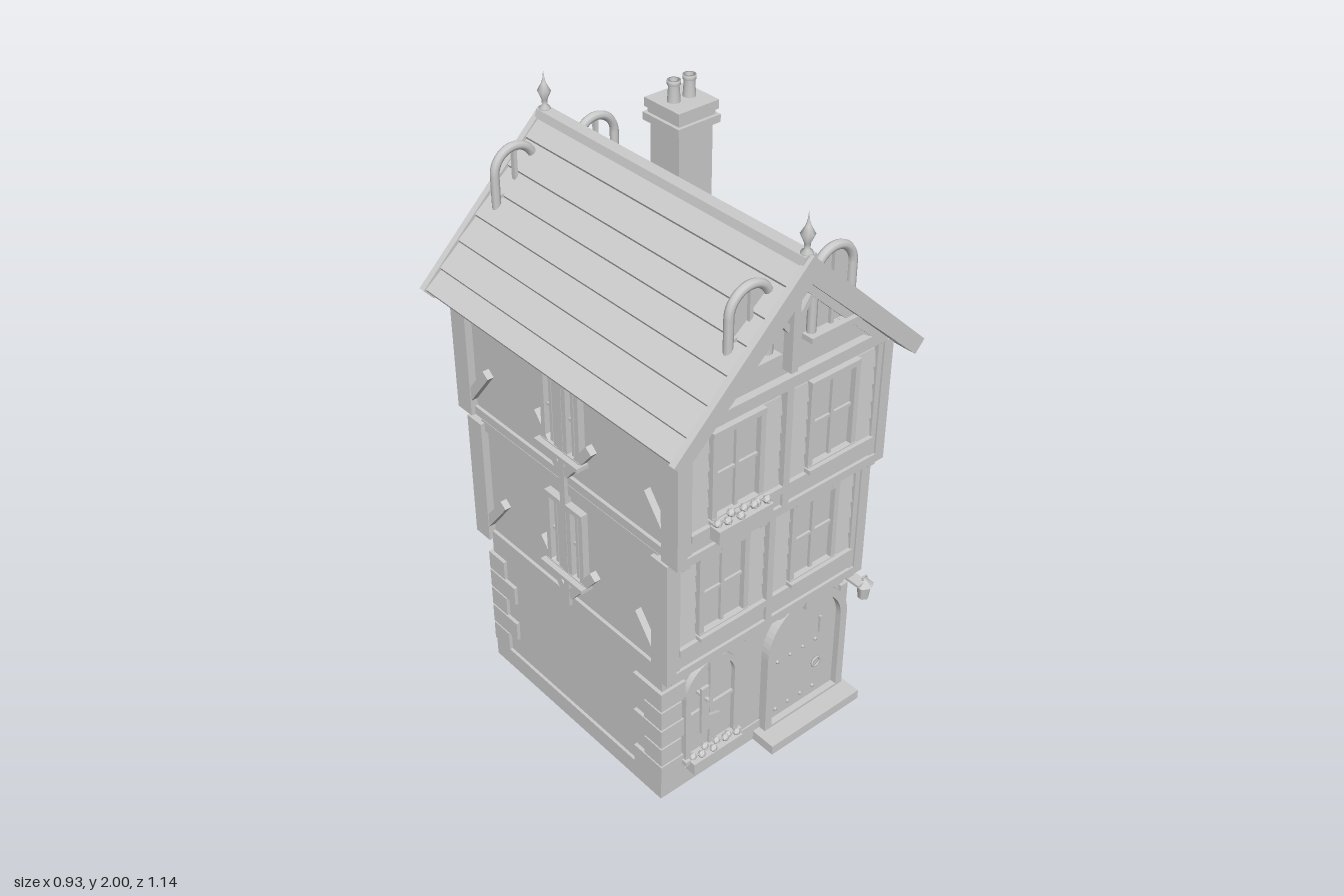
import * as THREE from 'three';

const grey = new THREE.MeshStandardMaterial({ color: 0xcccccc });
grey.name = 'grey';

function add(parent, name, geo, x = 0, y = 0, z = 0) {
  const m = new THREE.Mesh(geo, grey);
  m.name = name;
  m.position.set(x, y, z);
  parent.add(m);
  return m;
}
// Box given by its min and max on each axis
function box(parent, name, x0, x1, y0, y1, z0, z1) {
  return add(parent, name, new THREE.BoxGeometry(x1 - x0, y1 - y0, z1 - z0),
    (x0 + x1) / 2, (y0 + y1) / 2, (z0 + z1) / 2);
}
// Timber running between two points of a wall plane
function beam(parent, name, a, b, w, z0, z1) {
  const dx = b[0] - a[0], dy = b[1] - a[1];
  const m = add(parent, name, new THREE.BoxGeometry(Math.hypot(dx, dy), w, z1 - z0),
    (a[0] + b[0]) / 2, (a[1] + b[1]) / 2, (z0 + z1) / 2);
  m.rotation.z = Math.atan2(dy, dx);
}
function group(parent, name) {
  const g = new THREE.Group();
  g.name = name;
  parent.add(g);
  return g;
}
function extrude(shape, z0, z1) {
  const g = new THREE.ExtrudeGeometry(shape, { depth: z1 - z0, bevelEnabled: false, curveSegments: 14 });
  return g.translate(0, 0, z0);
}
function polygon(pts) {
  return new THREE.Shape(pts.map(p => new THREE.Vector2(p[0], p[1])));
}
// Round-topped outline: half width r, straight from y0 to the spring line
function arch(x, r, y0, spring, Type = THREE.Shape) {
  const s = new Type();
  s.moveTo(x - r, y0);
  s.lineTo(x + r, y0);
  s.lineTo(x + r, spring);
  s.absarc(x, spring, r, 0, Math.PI, false);
  s.lineTo(x - r, y0);
  return s;
}
function archFrame(x, r, t, y0, spring) {
  const s = arch(x, r, y0, spring);
  s.holes.push(arch(x, r - t, y0 + t * 0.5, spring, THREE.Path));
  return s;
}

// Rectangular casement with cross bars and sill
function casement(parent, x, y0, w, h, z, sill) {
  const g = group(parent, 'casementWindow'), t = 0.018, y1 = y0 + h;
  for (const s of [-1, 1]) {
    const c = x + s * (w - t) / 2;
    box(g, 'windowJamb', c - t / 2, c + t / 2, y0, y1, z, z + 0.022);
  }
  box(g, 'windowHead', x - w / 2, x + w / 2, y1 - t, y1, z, z + 0.024);
  box(g, 'windowFoot', x - w / 2, x + w / 2, y0, y0 + t, z, z + 0.024);
  box(g, 'mullion', x - 0.006, x + 0.006, y0, y1, z, z + 0.014);
  box(g, 'transom', x - w / 2 + t, x + w / 2 - t, y0 + h / 2 - 0.005, y0 + h / 2 + 0.005, z, z + 0.012);
  box(g, 'glass', x - w / 2 + t, x + w / 2 - t, y0 + t, y1 - t, z, z + 0.004);
  box(g, 'sill', x - sill / 2, x + sill / 2, y0, y0 + 0.014, z, z + 0.037);
}

function flowerBox(parent, x, y, z) {
  const g = group(parent, 'flowerBox');
  box(g, 'planter', x - 0.1, x + 0.1, y, y + 0.045, z, z + 0.04);
  for (let i = 0; i < 8; i++) {
    add(g, 'flower', new THREE.IcosahedronGeometry(0.014, 0),
      x - 0.084 + i * 0.024, y + 0.052 + (i % 3) * 0.007, z + 0.014 + (i % 2) * 0.014);
  }
}

// Gable-end elevation facing local +z; s = 1 front, -1 back
function facade(parent, s) {
  const g = group(parent, s > 0 ? 'frontElevation' : 'backElevation');
  if (s < 0) g.rotation.y = Math.PI;

  // Upper storeys: base y, top y, wall plane z, window foot
  for (const [y0, y1, z, wy] of [[0.52, 0.985, 0.445, 0.63], [0.985, 1.45, 0.49, 1.085]]) {
    const o = z + 0.025;
    box(g, 'bottomBeam', -0.4, 0.4, y0, y0 + 0.03, z, o);
    box(g, 'topBeam', -0.375, 0.375, y1 - 0.04, y1 - 0.002, z, o);
    box(g, 'centrePost', -0.012, 0.012, y0, y1 - 0.01, z, o);
    for (const k of [-1, 1]) {
      box(g, 'cornerPost', k * 0.382 - 0.018, k * 0.382 + 0.018, y0, Math.min(y1 - 0.01, 1.41), z - 0.045, o);
      box(g, 'stud', k * 0.355 - 0.01, k * 0.355 + 0.01, y0, y1 - 0.02, z, o - 0.006);
      box(g, 'lowerPanel', k * 0.18 - 0.165, k * 0.18 + 0.165, y0 + 0.035, y0 + 0.08, z, o - 0.006);
      box(g, 'middleRail', k * 0.18 - 0.168, k * 0.18 + 0.168, wy - 0.025, wy, z, o);
      casement(g, k * 0.18, wy, 0.19, 0.305, z, 0.2);
      for (const bx of [0.05, 0.313]) for (let i = 0; i < 5; i++) {
        const b = add(g, 'weatherBoard', new THREE.BoxGeometry(0.066, 0.06, 0.008),
          k * bx, wy + 0.032 + i * 0.06, z + 0.006);
        b.rotation.x = -0.12;
      }
    }
    for (let i = 0; i < 6; i++) {
      const jx = -0.36 + i * 0.144;
      box(g, 'joistEnd', jx - 0.014, jx + 0.014, y0 - 0.016, y0, z - 0.05, o - 0.008);
    }
  }

  // Gable timbers and round-topped attic windows
  box(g, 'kingPost', -0.012, 0.012, 1.47, 1.79, 0.49, 0.525);
  for (const k of [-1, 1]) {
    beam(g, 'gableRafter', [k * 0.37, 1.42], [0, 1.77], 0.045, 0.49, 0.515);
    beam(g, 'gableBrace', [k * 0.32, 1.45], [k * 0.17, 1.55], 0.02, 0.49, 0.51);
    beam(g, 'kingPostBrace', [k * 0.01, 1.6], [k * 0.07, 1.68], 0.018, 0.49, 0.51);
    const x = k * 0.15;
    add(g, 'atticGlass', new THREE.ShapeGeometry(arch(x, 0.07, 1.55, 1.72)), 0, 0, 0.497);
    add(g, 'atticHood', new THREE.TorusGeometry(0.071, 0.014, 8, 20, Math.PI), x, 1.72, 0.5);
    for (const j of [-1, 1])
      add(g, 'atticJamb', new THREE.CylinderGeometry(0.014, 0.014, 0.17, 8), x + j * 0.071, 1.635, 0.5);
    box(g, 'atticMullion', x - 0.006, x + 0.006, 1.55, 1.785, 0.493, 0.508);
    box(g, 'atticTransom', x - 0.065, x + 0.065, 1.645, 1.656, 0.493, 0.508);
    box(g, 'atticSill', x - 0.095, x + 0.095, 1.538, 1.555, 0.49, 0.53);
  }

  // Round-topped ground floor window
  const wx = -0.19 * s, dx = 0.2 * s;
  add(g, 'archWindowFrame', extrude(archFrame(wx, 0.108, 0.02, 0.11, 0.375), 0.41, 0.44));
  add(g, 'archGlass', extrude(arch(wx, 0.09, 0.12, 0.375), 0.41, 0.424));
  box(g, 'archMullion', wx - 0.006, wx + 0.006, 0.12, 0.463, 0.42, 0.433);
  box(g, 'archTransom', wx - 0.09, wx + 0.09, 0.28, 0.292, 0.42, 0.433);
  box(g, 'keystone', wx - 0.022, wx + 0.022, 0.45, 0.505, 0.41, 0.45);
  box(g, 'archSill', wx - 0.115, wx + 0.115, 0.105, 0.122, 0.41, 0.45);

  // Door, frame, studs, ring handle and step
  const front = s > 0;
  if (front) {
    add(g, 'doorFrame', extrude(archFrame(dx, 0.172, 0.028, 0.03, 0.345), 0.41, 0.45));
    add(g, 'door', extrude(arch(dx, 0.146, 0.035, 0.345), 0.41, 0.428));
    box(g, 'doorKeystone', dx - 0.024, dx + 0.024, 0.47, 0.515, 0.41, 0.457);
    box(g, 'doorBolt', 0.266, 0.273, 0.31, 0.375, 0.42, 0.436);
  } else {
    for (const k of [-1, 1])
      box(g, 'doorJamb', dx + k * 0.158 - 0.014, dx + k * 0.158 + 0.014, 0.03, 0.49, 0.41, 0.44);
    box(g, 'doorLintel', dx - 0.18, dx + 0.18, 0.46, 0.495, 0.41, 0.445);
    box(g, 'door', dx - 0.15, dx + 0.15, 0.035, 0.46, 0.41, 0.428);
  }
  for (let i = 0; i < 4; i++) for (const y of [0.08, 0.285])
    add(g, 'doorStud', new THREE.SphereGeometry(0.007, 6, 4), dx - 0.11 + i * 0.055, y, 0.429);
  add(g, 'ringHandle', new THREE.TorusGeometry(0.017, 0.004, 6, 14), dx + 0.06 * s, 0.185, 0.434);
  box(g, 'doorStep', s > 0 ? 0 : -0.385, s > 0 ? 0.385 : 0, 0, 0.035, 0.4, 0.515);

  if (front) {
    flowerBox(g, -0.19, 0.075, 0.432);
    flowerBox(g, -0.185, 1.045, 0.515);
    // Hanging boot-shaped sign
    box(g, 'signArm', -0.245, -0.235, 0.362, 0.372, 0.42, 0.475);
    add(g, 'bootSign', extrude(polygon([[-0.255, 0.41], [-0.255, 0.225], [-0.19, 0.228],
      [-0.175, 0.25], [-0.18, 0.27], [-0.225, 0.285], [-0.225, 0.41]]), 0.452, 0.462));
  }
}

// Long side wall facing local +z; its plane is the house's x side
function flank(parent, s) {
  const g = group(parent, 'sideElevation');
  g.rotation.y = s * Math.PI / 2;
  for (const [y0, y1, half, wy, h] of [[0.52, 0.985, 0.465, 0.635, 0.28], [0.985, 1.42, 0.51, 1.09, 0.275]]) {
    box(g, 'sideBottomBeam', -half, half, y0, y0 + 0.03, 0.375, 0.386);
    box(g, 'sideTopBeam', -half + 0.05, half - 0.05, y1 - 0.04, y1 - 0.002, 0.375, 0.386);
    box(g, 'sidePost', -0.012, 0.012, y0, y1, 0.375, 0.398);
    box(g, 'sideSill', -0.1, 0.1, wy, wy + 0.014, 0.375, 0.417);
    for (const k of [-1, 1]) {
      casement(g, k * 0.05, wy, 0.075, h, 0.375, 0.075);
      beam(g, 'centreBrace', [k * 0.13, y0 + 0.19], [k * 0.01, y0 + 0.04], 0.03, 0.375, 0.397);
      beam(g, 'cornerBrace', [k * (half - 0.035), y0 + 0.04], [k * (half - 0.15), y0 + 0.19], 0.03, 0.375, 0.397);
    }
  }
}

export function createModel() {
  const house = new THREE.Group();
  house.name = 'townHouse';

  // Main walls
  box(house, 'plinth', -0.385, 0.385, 0, 0.068, -0.425, 0.425);
  box(house, 'groundFloor', -0.375, 0.375, 0.06, 0.52, -0.42, 0.42);
  box(house, 'middleFloor', -0.375, 0.375, 0.515, 0.985, -0.445, 0.445);
  add(house, 'topFloorAndGable', extrude(polygon([[-0.375, 0.985], [0.375, 0.985],
    [0.375, 1.425], [0, 1.79], [-0.375, 1.425]]), -0.49, 0.49));

  // Corner stones, alternating long and short
  for (const x of [-1, 1]) for (const z of [-1, 1]) for (let i = 0; i < 5; i++) {
    const long = (i % 2 === 0) === (z > 0);
    const lx = x * z > 0 ? 0.03 : long ? 0.095 : 0.08, lz = long ? 0.13 : 0.08;
    const y = 0.07 + i * 0.077;
    add(house, 'cornerStone', new THREE.BoxGeometry(lx, 0.07, lz),
      x * (0.387 - lx / 2), y + 0.035, z * (0.43 - lz / 2));
  }

  facade(house, 1);
  facade(house, -1);
  flank(house, 1);
  flank(house, -1);

  // Roof with stepped courses
  const roofY = x => 1.838 - 0.957 * x;
  const right = [[0, 1.838]];
  for (const x of [0.07, 0.14, 0.2, 0.265, 0.33, 0.4, 0.455])
    right.push([x, roofY(x) + 0.005], [x - 0.003, roofY(x) - 0.003]);
  right.push([0.425, 1.37], [0, 1.77]);
  const left = right.slice(1, -1).reverse().map(p => [-p[0], p[1]]);
  add(house, 'roof', extrude(polygon([...right, ...left]), -0.555, 0.555));
  for (const z of [-0.572, 0.55]) add(house, 'bargeBoard', extrude(polygon([[0, 1.848],
    [0.463, 1.405], [0.43, 1.367], [0, 1.765], [-0.43, 1.367], [-0.463, 1.405]]), z, z + 0.022));
  add(house, 'ridgeCap', extrude(polygon([[-0.027, 1.82], [0.027, 1.82], [0.02, 1.845], [-0.02, 1.845]]), -0.56, 0.56));

  // Finials on the ridge ends
  const finial = [[0, 1.83], [0.018, 1.83], [0.018, 1.85], [0.008, 1.858], [0.009, 1.875], [0.021, 1.902],
    [0.008, 1.925], [0.003, 1.94], [0, 1.967]].map(p => new THREE.Vector2(...p));
  for (const z of [-0.545, 0.545]) add(house, 'finial', new THREE.LatheGeometry(finial, 8), 0, 0, z);

  // Chimney with stepped cap and two hollow pots
  const chimney = group(house, 'chimney');
  const cx = 0.223, cz = -0.195;
  for (const [name, r, y0, y1] of [['stack', 0.063, 1.5, 1.9], ['lowerCap', 0.079, 1.866, 1.89],
    ['neck', 0.068, 1.89, 1.907], ['upperCap', 0.075, 1.907, 1.935]])
    box(chimney, name, cx - r, cx + r, y0, y1, cz - r, cz + r);
  const pot = [[0.02, 1.93], [0.016, 1.985], [0.02, 1.987], [0.02, 2.0], [0.013, 2.0], [0.013, 1.94], [0, 1.94]]
    .map(p => new THREE.Vector2(...p));
  for (const k of [-1, 1]) add(chimney, 'chimneyPot', new THREE.LatheGeometry(pot, 14), cx + k * 0.029, 0, cz);

  // Lantern on the front corner
  const lamp = group(house, 'lantern');
  box(lamp, 'lanternArm', 0.37, 0.41, 0.47, 0.48, 0.41, 0.49);
  add(lamp, 'lanternGlass', new THREE.CylinderGeometry(0.024, 0.018, 0.055, 6), 0.405, 0.44, 0.483);
  add(lamp, 'lanternRoof', new THREE.CylinderGeometry(0.006, 0.032, 0.02, 6), 0.405, 0.475, 0.483);
  add(lamp, 'lanternHook', new THREE.TorusGeometry(0.009, 0.003, 6, 10), 0.405, 0.49, 0.483);
  return house;
}
